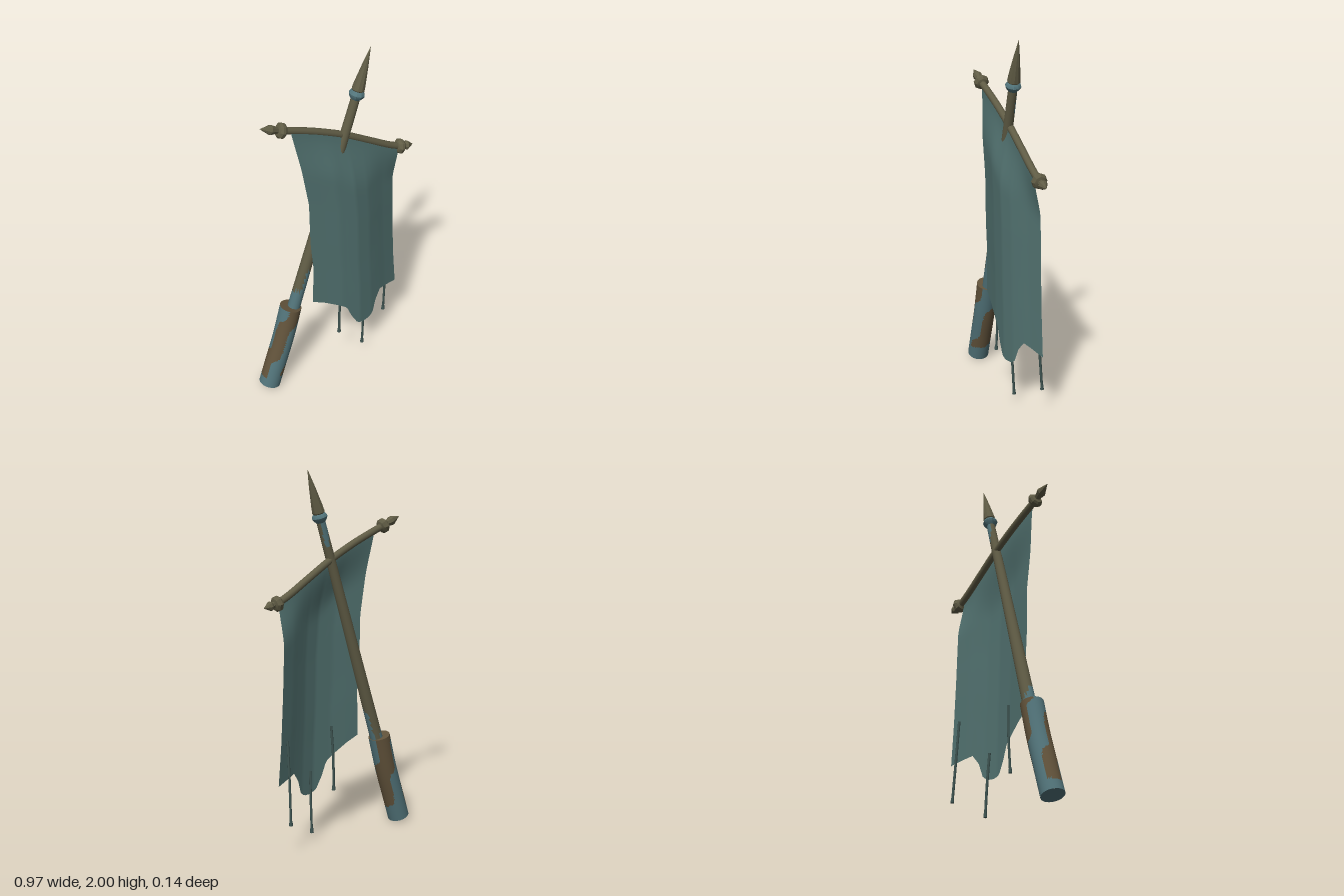
import * as THREE from 'three';
import { toCreasedNormals } from 'three/addons/utils/BufferGeometryUtils.js';

const V = (x, y, z) => new THREE.Vector3(x, y, z);

// Piecewise linear lookup through [key, value] pairs
function lookup(pairs, k) {
  for (let i = 1; i < pairs.length; i++) {
    const [a, va] = pairs[i - 1], [b, vb] = pairs[i];
    if (k <= b) return va + (vb - va) * Math.max(0, (k - a) / (b - a));
  }
  return pairs[pairs.length - 1][1];
}

// Sort triangles into two material groups by a rule on their centre
function paint(geo, rule) {
  const p = geo.attributes.position, idx = geo.index.array, sets = [[], []];
  for (let i = 0; i < idx.length; i += 3) {
    const tri = [idx[i], idx[i + 1], idx[i + 2]], c = V(0, 0, 0);
    tri.forEach((k) => c.add(V(p.getX(k), p.getY(k), p.getZ(k))));
    sets[rule(c.divideScalar(3)) ? 1 : 0].push(...tri);
  }
  geo.setIndex([...sets[0], ...sets[1]]);
  geo.clearGroups();
  geo.addGroup(0, sets[0].length, 0);
  geo.addGroup(sets[0].length, sets[1].length, 1);
  return geo;
}

// Turned shape: [radius, distance] profile along the line from a towards b
function turned(a, b, profile, sides) {
  const geo = new THREE.LatheGeometry(profile.map(([r, s]) => new THREE.Vector2(r, s)), sides);
  const q = new THREE.Quaternion().setFromUnitVectors(V(0, 1, 0), b.clone().sub(a).normalize());
  return geo.applyQuaternion(q).translate(a.x, a.y, a.z);
}

export function createModel() {
  const group = new THREE.Group();
  const mat = (name, color, side = THREE.FrontSide) => {
    const m = new THREE.MeshStandardMaterial({ color, side });
    m.name = name;
    return m;
  };
  const metal = mat('tarnished metal', 0x605c45);
  const verdigris = mat('verdigris', 0x52747a);
  const rust = mat('rust brown', 0x62533b);
  const cloth = mat('faded teal cloth', 0x527270, THREE.DoubleSide);
  const cord = mat('dark cord', 0x3f5552);
  const add = (name, geo, material) => {
    const m = new THREE.Mesh(geo, material);
    m.name = name;
    group.add(m);
    return m;
  };

  // Pole, leaning to the left of the cloth, with a stain above the grip
  const foot = V(-0.28, 0.45, -0.008), tip = V(0.195, 2, 0.015);
  const shaft = [];
  for (let i = 0; i <= 40; i++) shaft.push([0.036 - 0.013 * i / 40, 1.38 * i / 40]);
  const pole = turned(foot, tip, shaft, 16);
  paint(pole, (c) => c.y < 0.64 + 0.06 * Math.sin(c.x * 60) + c.z * 2
    || (c.y > 1.6 && c.z < -0.004 && c.x > 0.08));
  add('pole', pole, [metal, verdigris]);

  // Collar and spear head
  add('collar', toCreasedNormals(turned(foot, tip,
    [[0.022, 1.335], [0.036, 1.352], [0.042, 1.365], [0.036, 1.378], [0.022, 1.39]], 10), 0.5), verdigris);
  add('spearHead', toCreasedNormals(turned(foot, tip,
    [[0.02, 1.375], [0.034, 1.39], [0.031, 1.42], [0.017, 1.52], [0, 1.621]], 10), 0.5), metal);

  // Bent grip with rust patches and closed ends
  const gripPath = new THREE.CatmullRomCurve3([
    V(-0.43, 0.02, -0.008), V(-0.385, 0.16, -0.008), V(-0.33, 0.33, -0.008), V(-0.278, 0.525, -0.008)]);
  const grip = paint(new THREE.TubeGeometry(gripPath, 40, 0.06, 36), (c) => {
    const a = Math.atan2(c.z + 0.008, c.x + 0.43 - (c.y - 0.02) * 0.3);
    return c.y > 0.09 && Math.sin(2 * a + 9 * c.y) + 0.5 * Math.sin(3 * a - 17 * c.y) > 0;
  });
  add('grip', grip, [verdigris, rust]);
  for (const t of [0, 1]) {
    const p = gripPath.getPointAt(t), d = gripPath.getTangentAt(t).multiplyScalar(t ? 1 : -1);
    const cap = new THREE.CircleGeometry(0.06, 36);
    cap.applyQuaternion(new THREE.Quaternion().setFromUnitVectors(V(0, 0, 1), d)).translate(p.x, p.y, p.z);
    add(t ? 'gripTop' : 'gripBottom', cap, t ? rust : verdigris);
  }

  // Sagging crossbar
  const barLine = [[-0.31, 1.685], [-0.2, 1.645], [-0.1, 1.605], [0.05, 1.535],
    [0.2, 1.45], [0.33, 1.375], [0.405, 1.34]];
  const bar = new THREE.CatmullRomCurve3(barLine.map(([x, y]) => V(x, y, 0.008 - (x + 0.3) * 0.015)));
  add('crossbar', new THREE.TubeGeometry(bar, 40, 0.019, 12), metal);

  // Ringed finials at both bar ends
  const finial = (name, a, b) => {
    const len = a.distanceTo(b);
    add(name, toCreasedNormals(turned(a, b, [[0.018, -0.026], [0.032, -0.02], [0.041, -0.008], [0.041, 0.006],
      [0.032, 0.016], [0.017, 0.02], [0.018, 0.03], [0.026, len * 0.5], [0, len]], 8), 0.4), metal);
  };
  finial('rightFinial', V(-0.31, 1.685, 0.008), V(-0.422, 1.73, 0.006));
  finial('leftFinial', V(0.405, 1.34, -0.003), V(0.487, 1.325, -0.003));

  // Hanging cloth with billow and torn hem
  const rightEdge = [[0, -0.265], [0.2, -0.22], [0.41, -0.18], [0.64, -0.175], [0.78, -0.16], [1, -0.165]];
  const leftEdge = [[0, 0.385], [0.25, 0.38], [0.5, 0.39], [0.77, 0.405], [1, 0.425]];
  const hem = [[-0.165, 0.54], [-0.09, 0.505], [0, 0.45], [0.04, 0.42], [0.07, 0.345], [0.11, 0.275],
    [0.15, 0.26], [0.2, 0.265], [0.23, 0.29], [0.25, 0.36], [0.29, 0.415], [0.36, 0.4], [0.425, 0.385]];
  const billow = [[0, 0.042], [0.15, 0.053], [0.3, 0.065], [0.5, 0.068], [0.65, 0.05], [0.85, 0.004], [1, -0.025]];
  const sheet = new THREE.PlaneGeometry(1, 1, 48, 32);
  const pos = sheet.attributes.position;
  for (let i = 0; i < pos.count; i++) {
    const u = pos.getX(i) + 0.5, v = 0.5 - pos.getY(i);
    const x = THREE.MathUtils.lerp(lookup(rightEdge, v), lookup(leftEdge, v), u);
    const top = lookup(barLine, -0.265 + 0.65 * u) + 0.006;
    const y = THREE.MathUtils.lerp(top, lookup(hem, -0.165 + 0.59 * u), v);
    const z = THREE.MathUtils.lerp(0.024 - 0.012 * u, lookup(billow, u), THREE.MathUtils.smoothstep(v, 0, 0.25));
    pos.setXYZ(i, x, y, z);
  }
  sheet.computeVertexNormals();
  add('bannerCloth', sheet, cloth);

  // Knotted cords hanging behind the hem
  const cords = [
    [V(0.012, 0.62, 0.055), V(0.002, 0.44, 0.05), V(-0.005, 0.255, 0.055)],
    [V(0.165, 0.4, 0.045), V(0.17, 0.25, 0.035), V(0.172, 0.06, 0.025)],
    [V(0.36, 0.62, -0.02), V(0.362, 0.4, -0.035), V(0.367, 0.17, -0.05)]];
  for (const pts of cords) {
    add('hangingCord', new THREE.TubeGeometry(new THREE.CatmullRomCurve3(pts), 12, 0.007, 6), cord);
    const end = pts[2];
    add('cordKnot', new THREE.CylinderGeometry(0.008, 0.011, 0.026, 6)
      .translate(end.x, end.y + 0.008, end.z), cord);
  }
  return group;
}
